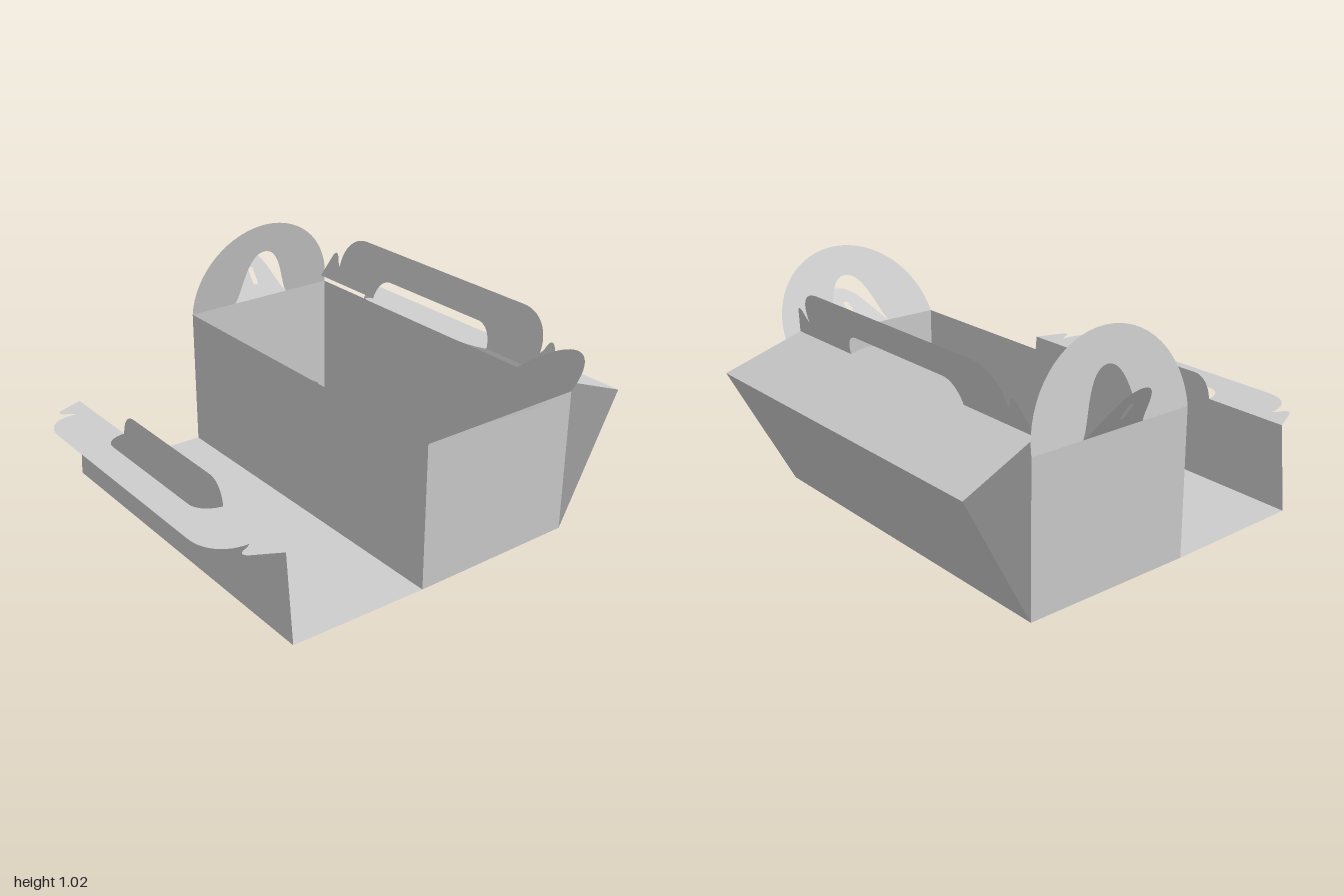
import * as THREE from 'three';

const card = new THREE.MeshStandardMaterial({ color: 0xcccccc, side: THREE.DoubleSide });
card.name = 'grey card';

// box dimensions
const CX = -0.0375, HW = 0.8225, H = 0.64;   // centre and half width along x, wall height
const ZF = 0.1, ZB = -0.67, CZ = -0.285, R = 0.385;
const FOLD = 0.785;                          // half width of the tapered fold lines

// flat sheet: the shape's x axis runs along u, its y axis along v, from the origin
function sheet(name, shape, origin, u, v) {
  const U = new THREE.Vector3(...u).normalize();
  const V = new THREE.Vector3(...v).normalize();
  const m = new THREE.Matrix4().makeBasis(U, V, U.clone().cross(V)).setPosition(...origin);
  const mesh = new THREE.Mesh(new THREE.ShapeGeometry(shape, 16).applyMatrix4(m), card);
  mesh.name = name;
  return mesh;
}

// panel that may taper from half width a to half width b
function panel(a, b, h) {
  return new THREE.Shape([[-a, 0], [a, 0], [b, h], [-b, h]].map(p => new THREE.Vector2(...p)));
}

// rounded grip outline, from its right foot over the top to its left foot
function gripOutline(s) {
  s.lineTo(0.38, 0);
  s.bezierCurveTo(0.375, 0.06, 0.34, 0.1, 0.29, 0.1);
  s.lineTo(-0.29, 0.1);
  s.bezierCurveTo(-0.34, 0.1, -0.375, 0.06, -0.38, 0);
  return s;
}

// lid flap with hooked shoulders and a grip cut out at the fold
function handleShape() {
  const s = new THREE.Shape();
  s.moveTo(-0.38, 0);
  s.lineTo(-FOLD, 0);
  s.lineTo(-0.73, 0.118);
  s.quadraticCurveTo(-0.71, 0.15, -0.69, 0.118);
  s.quadraticCurveTo(-0.68, 0.09, -0.664, 0.075);
  s.bezierCurveTo(-0.67, 0.16, -0.62, 0.238, -0.51, 0.238);
  s.lineTo(0.51, 0.238);
  s.bezierCurveTo(0.62, 0.238, 0.67, 0.16, 0.664, 0.075);
  s.quadraticCurveTo(0.68, 0.09, 0.69, 0.118);
  s.quadraticCurveTo(0.71, 0.15, 0.73, 0.118);
  s.lineTo(FOLD, 0);
  return gripOutline(s);
}

function gripTabShape() {
  const s = new THREE.Shape();
  s.moveTo(-0.38, 0);
  return gripOutline(s);
}

// bell outline shared by the end tab and the cut-out it came from
function bellOutline(s) {
  s.lineTo(0.148, 0);
  s.bezierCurveTo(0.11, 0.05, 0.1, 0.243, 0, 0.245);
  s.bezierCurveTo(-0.1, 0.243, -0.11, 0.05, -0.148, 0);
  return s;
}

function archShape() {
  const s = new THREE.Shape();
  s.moveTo(-0.148, 0);
  s.lineTo(-R, 0);
  s.absarc(0, 0, R, Math.PI, 0, true);
  return bellOutline(s);
}

function endTabShape() {
  const s = new THREE.Shape();
  s.moveTo(-0.148, 0);
  bellOutline(s);
  s.holes.push(new THREE.Path([[-0.013, 0.068], [-0.013, 0.155], [0.013, 0.155], [0.013, 0.068]]
    .map(p => new THREE.Vector2(...p))));
  return s;
}

// inner locking tongue with one rounded shoulder
function tongueShape() {
  const s = new THREE.Shape();
  s.moveTo(-0.12, 0);
  s.lineTo(0.09, 0);
  s.lineTo(0.09, H - 0.01);
  s.lineTo(0, H - 0.02);
  s.lineTo(0, 0.42);
  s.lineTo(-0.06, 0.42);
  s.quadraticCurveTo(-0.12, 0.42, -0.12, 0.36);
  return s;
}

export function createModel() {
  const g = new THREE.Group();
  g.name = 'openCarryBox';
  const X = [1, 0, 0], Y = [0, 1, 0], Z = [0, 0, 1];

  // tray
  g.add(
    sheet('floor', panel(HW, HW, ZF - ZB), [CX, 0, ZB], X, Z),
    sheet('frontWall', panel(HW, HW, H), [CX, 0, ZF], X, Y),
    sheet('backWall', panel(HW, HW, H), [CX, 0, ZB], X, Y),
    sheet('frontTongue', tongueShape(), [CX + 0.03, 0, ZF - 0.02], X, Y),
    sheet('backTongue', tongueShape(), [CX, 0, ZB + 0.012], X, Y));

  // end walls, each with a leaning arch and a slotted tab folded outwards
  const ends = [
    { name: 'left', x: CX + HW, arch: [0.195, 0.33, 0], tab: [0.21, 0.13, 0] },
    { name: 'right', x: CX - HW, arch: [0.06, 0.37, 0], tab: [-0.14, 0.2, 0] },
  ];
  for (const e of ends) {
    g.add(
      sheet(e.name + 'EndWall', panel(R, R, H), [e.x, 0, CZ], Z, Y),
      sheet(e.name + 'EndArch', archShape(), [e.x, H, CZ], Z, e.arch),
      sheet(e.name + 'EndTab', endTabShape(), [e.x, H, CZ], Z, e.tab));
  }

  // lid halves: main panel, tapered panel, handle flap, grip tab in the tapered panel's plane
  const lids = [
    { name: 'front', a: [ZF, 0], b: [0.725, 0.012], c: [0.725, 0.39], d: [0.96, 0.4] },
    { name: 'back', a: [ZB, 0], b: [-0.965, 0.565], c: [-0.62, 0.69], d: [-0.69, 0.92] },
  ];
  for (const { name, a, b, c, d } of lids) {
    const at = p => [CX, p[1], p[0]];
    const dir = (p, q) => [0, q[1] - p[1], q[0] - p[0]];
    const len = (p, q) => Math.hypot(...dir(p, q));
    g.add(
      sheet(name + 'LidPanel', panel(HW, HW, len(a, b)), at(a), X, dir(a, b)),
      sheet(name + 'LidTaperedPanel', panel(HW, FOLD, len(b, c)), at(b), X, dir(b, c)),
      sheet(name + 'LidHandle', handleShape(), at(c), X, dir(c, d)),
      sheet(name + 'LidGripTab', gripTabShape(), at(c), X, dir(b, c)));
  }
  return g;
}
